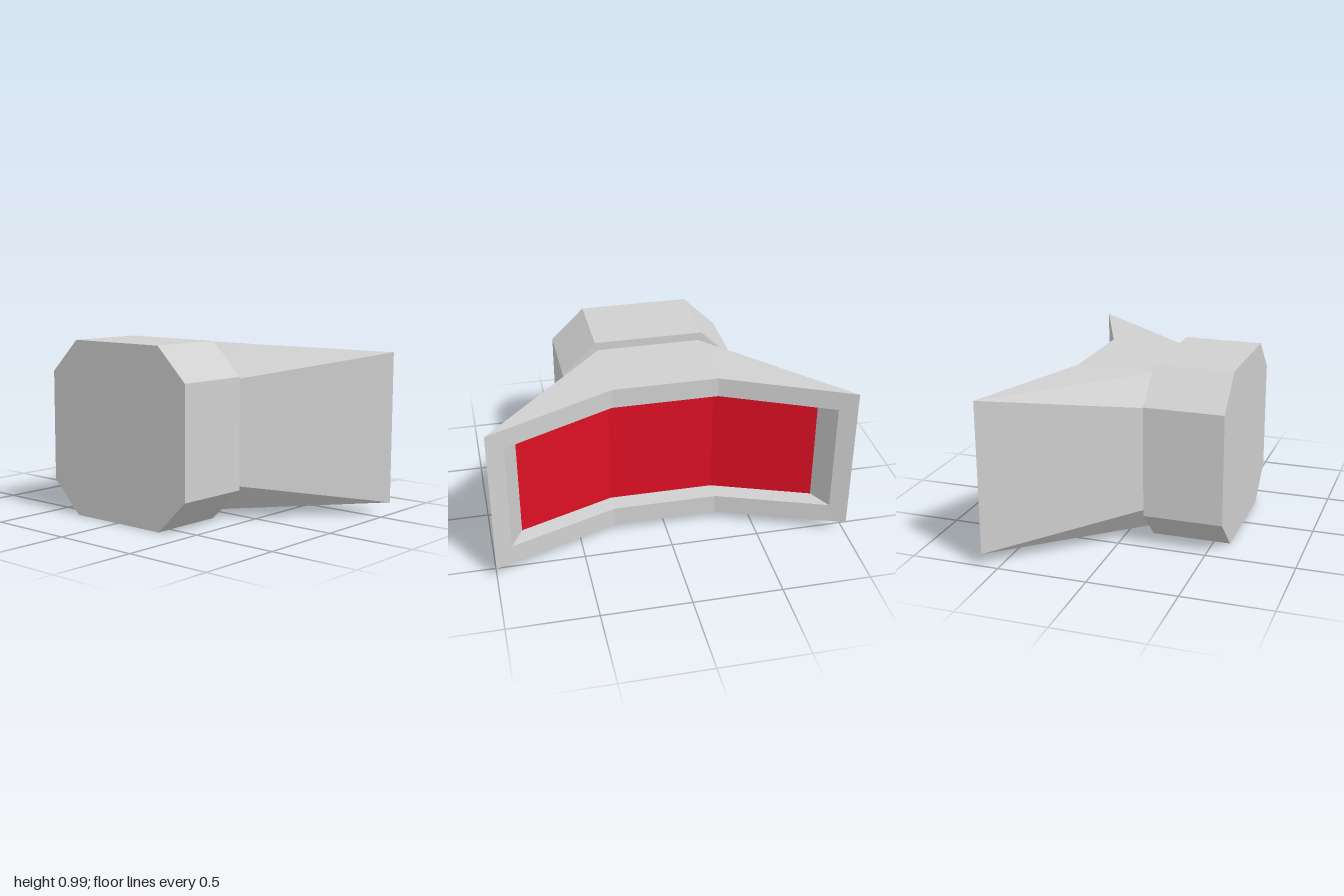
import * as THREE from 'three';

const MID = 0.497; // height of the symmetry plane

// Eight-point section, counter-clockwise seen from +x: two break points and
// two corners on each side, given as [x, half height, half depth].
function section([bx, bh, bz], [cx, ch, cz]) {
  const p = (x, y, z) => [x, MID + y, z];
  return [
    p(bx, bh, bz), p(cx, ch, cz), p(cx, -ch, cz), p(bx, -bh, bz),
    p(bx, -bh, -bz), p(cx, -ch, -cz), p(cx, ch, -cz), p(bx, bh, -bz),
  ];
}

// Faces between two sections, with diagonals mirrored left/right and up/down
function bridge(a, b) {
  const out = [];
  for (let i = 0; i < 8; i++) {
    const j = (i + 1) % 8;
    if (i % 4 === 0) out.push(a[i], a[j], b[j], a[i], b[j], b[i]);
    else out.push(a[i], a[j], b[i], a[j], b[j], b[i]);
  }
  return out;
}

// Three panels closing a section, facing +x (or -x when flipped)
function cap(s, flip = false) {
  const out = [];
  for (const q of [[7, 0, 3, 4], [0, 1, 2, 3], [6, 7, 4, 5]]) {
    const [a, b, c, d] = (flip ? [...q].reverse() : q).map((i) => s[i]);
    out.push(a, b, c, a, c, d);
  }
  return out;
}

function part(name, points, material) {
  const g = new THREE.BufferGeometry();
  g.setAttribute('position', new THREE.Float32BufferAttribute(points.flat(), 3));
  g.computeVertexNormals();
  const mesh = new THREE.Mesh(g, material);
  mesh.name = name;
  return mesh;
}

export function createModel() {
  const shell = new THREE.MeshStandardMaterial({ color: 0xd0d0d0 });
  shell.name = 'light grey shell';
  const red = new THREE.MeshStandardMaterial({ color: 0xdc1024 });
  red.name = 'red panel';

  // Octagonal rear block
  const rear = section([-0.592, 0.497, 0.31], [-0.592, 0.312, 0.5]);
  const front = section([-0.147, 0.497, 0.31], [-0.147, 0.312, 0.5]);

  // Flared housing, rim and recess
  const throat = section([-0.147, 0.45, 0.292], [-0.147, 0.293, 0.45]);
  const rimOuter = section([0.305, 0.45, 0.295], [0.592, 0.427, 1]);
  const rimInner = section([0.305, 0.338, 0.297], [0.552, 0.319, 0.905]);
  const panel = section([0.195, 0.338, 0.297], [0.42, 0.319, 0.835]);

  const model = new THREE.Group();
  model.name = 'flaredLamp';
  model.add(
    part('rearBlock', [...bridge(rear, front), ...cap(rear, true), ...cap(front)], shell),
    part('flaredHousing', bridge(throat, rimOuter), shell),
    part('rim', bridge(rimOuter, rimInner), shell),
    part('recessWalls', bridge(rimInner, panel), shell),
    part('redPanel', cap(panel), red),
  );
  return model;
}
